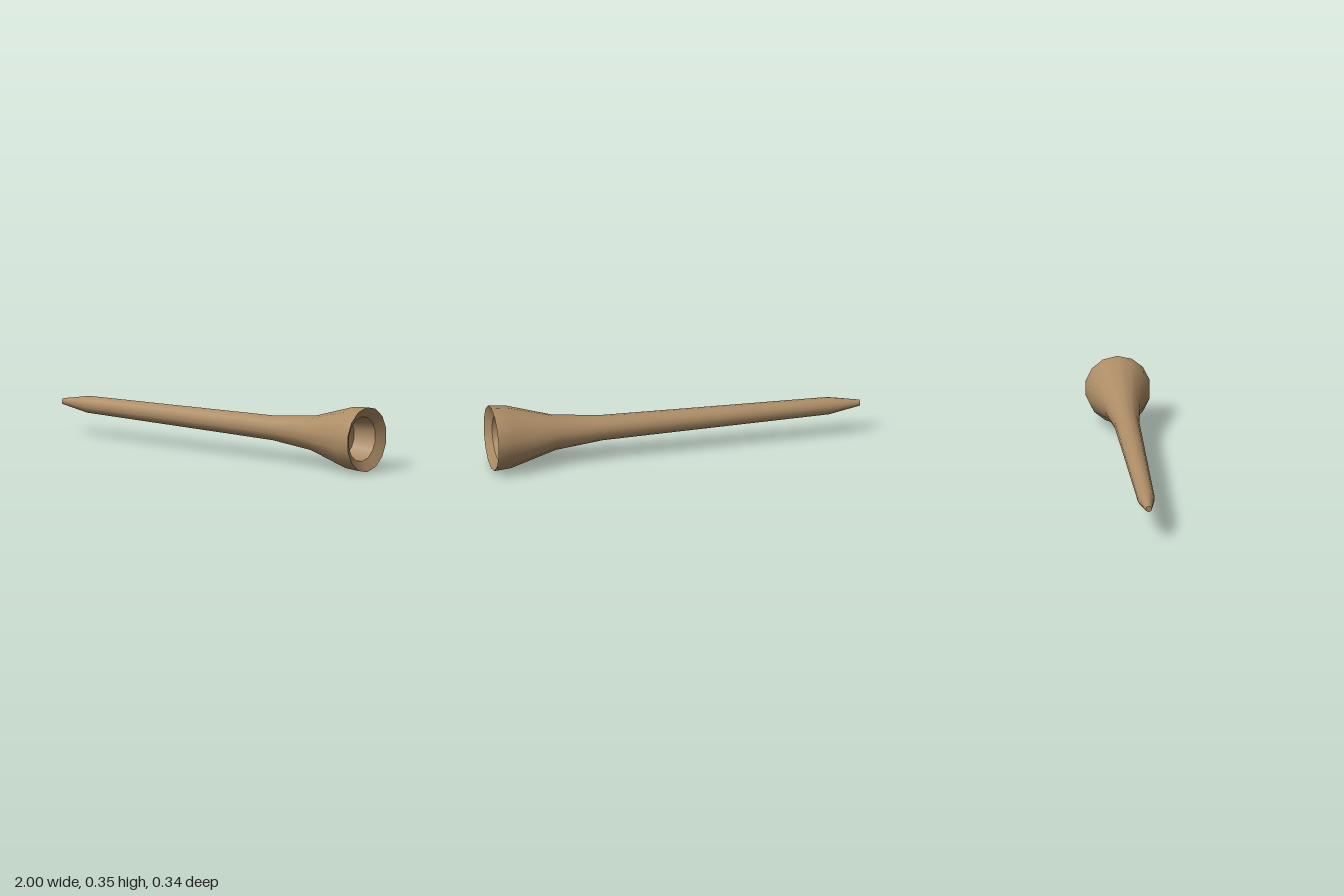
import * as THREE from 'three';

const SIDES = 14;
const RADIUS = 0.174;

export function createModel() {
  const wood = new THREE.MeshStandardMaterial({ color: 0xad8d66 });
  wood.name = 'lightWood';

  const tee = new THREE.Group();
  tee.name = 'tee';

  // Each section is its own lathe, so the seams between them stay sharp.
  // Points are [radius, position along the axis].
  const sections = {
    tipCap: [[0, -1], [0.016, -1]],
    shaft: [
      [0.016, -1], [0.046, -0.83], [0.06, 0], [0.067, 0.4],
      [0.094, 0.66], [0.167, 0.91], [RADIUS, 1],
    ],
    dishedRim: [[RADIUS, 1], [0.12, 0.967]],
    cupWall: [[0.12, 0.967], [0.103, 0.84]],
    cupFloor: [[0.103, 0.84], [0, 0.82]],
  };

  for (const [name, profile] of Object.entries(sections)) {
    const points = profile.map(([r, t]) => new THREE.Vector2(r, t));
    const geometry = new THREE.LatheGeometry(points, SIDES, Math.PI / 2);
    // Lay the axis along x, with the cup facing +x
    geometry.rotateZ(-Math.PI / 2);
    geometry.translate(0, RADIUS, 0);
    const mesh = new THREE.Mesh(geometry, wood);
    mesh.name = name;
    tee.add(mesh);
  }

  return tee;
}
